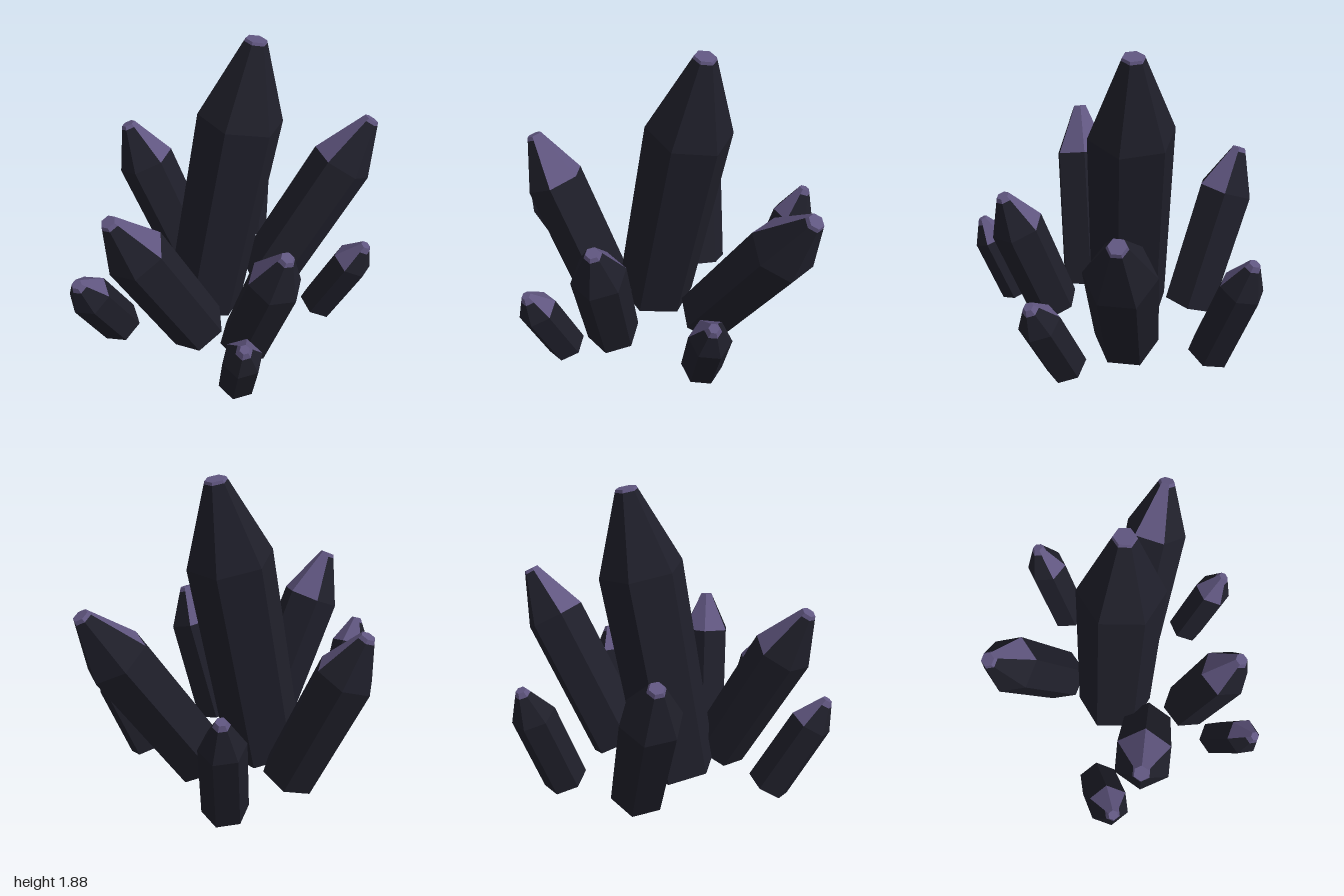
import * as THREE from 'three';

const SIDES = 6;
const SHOULDER = 0.735; // where the point starts along the axis
const CAP = 0.24;       // cap radius relative to the shoulder
const FROST_LIMIT = 0.59;

// name, base centre, tip centre, shoulder radius, base scale, facet twist in degrees
const CRYSTALS = [
  ['mainCrystal', [-0.06, 0.055, -0.04], [0.255, 1.875, 0.07], 0.26, 0.97, -9],
  ['leftCrystal', [-0.325, 0.085, 0.145], [-0.83, 1.17, -0.01], 0.185, 1, 15],
  ['rightCrystal', [0.35, 0.095, 0.15], [0.955, 1.205, 0.46], 0.2, 1, 30],
  ['backCrystal', [0.16, 0.08, -0.39], [0.0, 1.07, -0.79], 0.185, 0.97, -5],
  ['backRightCrystal', [0.645, 0.07, -0.275], [0.835, 0.795, -0.415], 0.135, 1.03, -14],
  ['backLeftCrystal', [-0.645, 0.085, -0.245], [-0.965, 0.685, -0.19], 0.13, 1.05, 30],
  ['frontCrystal', [-0.205, 0.078, 0.445], [-0.2, 0.95, 0.725], 0.165, 1, 0],
  ['frontLeftCrystal', [-0.46, 0.052, 0.61], [-0.605, 0.585, 0.78], 0.118, 1, 0],
  ['frontRightCrystal', [0.4, 0.055, 0.565], [0.505, 0.635, 0.8], 0.125, 1, -18],
];

// Build a hexagonal shard, open underneath; its cap, rim and upward point facets are frosted
function crystalGeometry(base, tip, radius, baseScale, twist) {
  const from = new THREE.Vector3(...base);
  const axis = new THREE.Vector3(...tip).sub(from);
  const length = axis.length();
  const tilt = new THREE.Quaternion().setFromUnitVectors(
    new THREE.Vector3(0, 1, 0), axis.clone().normalize());

  const ring = (height, r) => Array.from({ length: SIDES }, (_, i) => {
    const a = THREE.MathUtils.degToRad(twist) + (i / SIDES) * Math.PI * 2;
    return new THREE.Vector3(r * Math.sin(a), height, r * Math.cos(a))
      .applyQuaternion(tilt).add(from);
  });
  const foot = ring(0, radius * baseScale);
  const shoulder = ring(length * SHOULDER, radius);
  const cap = ring(length, radius * CAP);
  // The frosted rim reaches further down on slimmer shards
  const rimShare = 0.0043 / radius / (length * (1 - SHOULDER));
  const rim = cap.map((p, i) => p.clone().lerp(shoulder[i], rimShare));

  const faces = [[], []]; // stone, frost
  const addFace = (slot, ...corners) => {
    for (let k = 1; k < corners.length - 1; k++) {
      faces[slot].push(corners[0], corners[k], corners[k + 1]);
    }
  };
  for (let i = 0; i < SIDES; i++) {
    const j = (i + 1) % SIDES;
    addFace(0, foot[i], foot[j], shoulder[j], shoulder[i]);
    const normal = new THREE.Triangle(shoulder[i], shoulder[j], cap[j])
      .getNormal(new THREE.Vector3());
    addFace(normal.y > FROST_LIMIT ? 1 : 0, shoulder[i], shoulder[j], rim[j], rim[i]);
    addFace(1, rim[i], rim[j], cap[j], cap[i]);
  }
  addFace(1, ...cap);

  const geometry = new THREE.BufferGeometry().setFromPoints(faces.flat());
  geometry.addGroup(0, faces[0].length, 0);
  geometry.addGroup(faces[0].length, faces[1].length, 1);
  geometry.computeVertexNormals(); // unshared corners give flat facets
  return geometry;
}

export function createModel() {
  // Double sided because the shards are hollow from below
  const stone = new THREE.MeshStandardMaterial({ color: 0x1f1f2a, side: THREE.DoubleSide });
  stone.name = 'darkStone';
  const frost = new THREE.MeshStandardMaterial({ color: 0x605680, side: THREE.DoubleSide });
  frost.name = 'purpleFrost';

  const model = new THREE.Group();
  model.name = 'crystalCluster';
  for (const [name, ...spec] of CRYSTALS) {
    const mesh = new THREE.Mesh(crystalGeometry(...spec), [stone, frost]);
    mesh.name = name;
    model.add(mesh);
  }
  return model;
}
